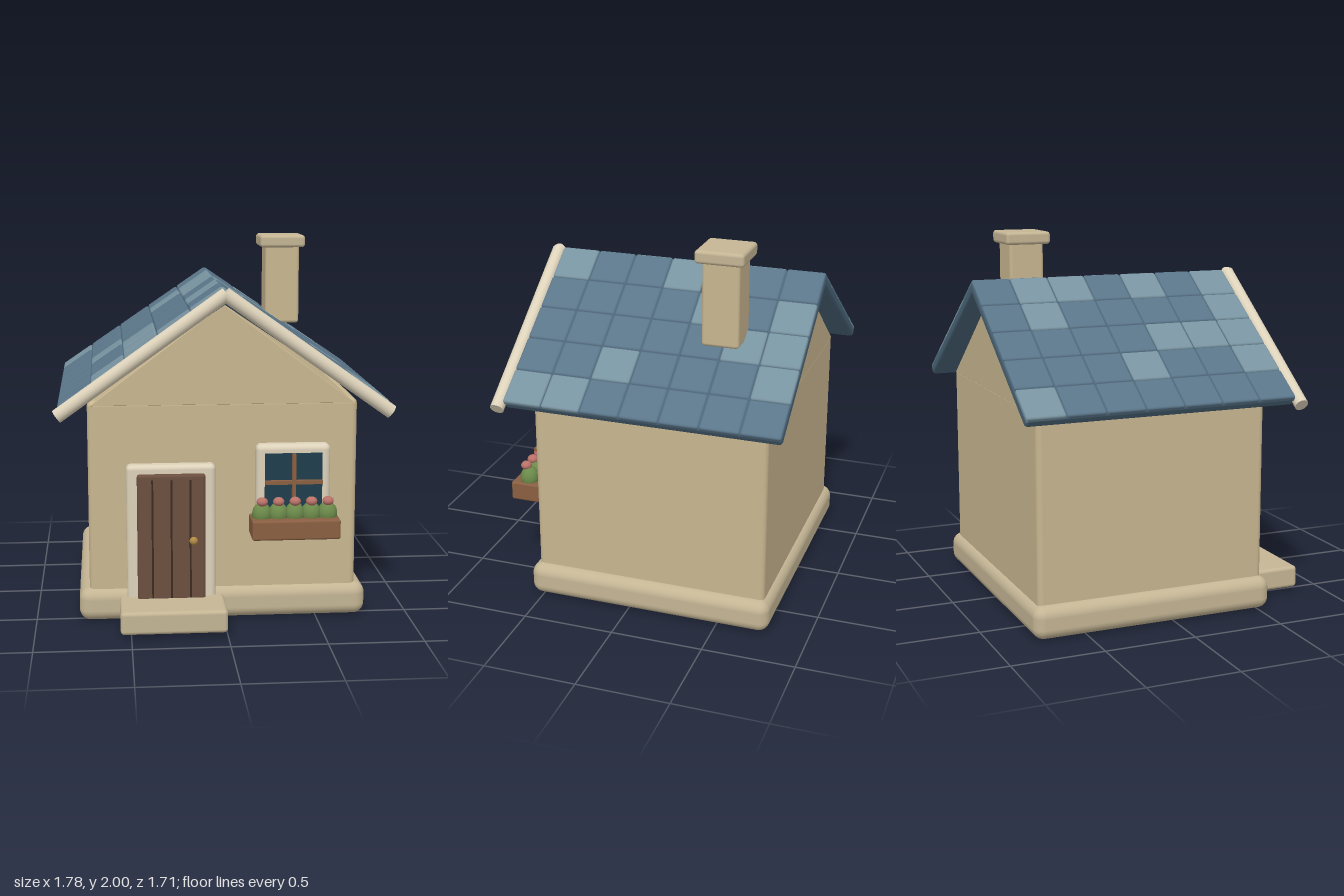
import * as THREE from 'three';
import { RoundedBoxGeometry } from 'three/addons/geometries/RoundedBoxGeometry.js';

const mats = {};
const mat = (color) => (mats[color] ??= new THREE.MeshStandardMaterial({ color }));
const WALL = 0xc8b690, STONE = 0xc4b594, TRIM = 0xddd2ba;
const TILE = 0x5a7589, TILE_LIGHT = 0x7893a0, SLATE = 0x4a6578;
const WOOD = 0x6b4f3f, GROOVE = 0x3a2a22, BROWN = 0x8a5f42;

function add(parent, name, geometry, color, x = 0, y = 0, z = 0) {
  const mesh = new THREE.Mesh(geometry, mat(color));
  mesh.name = name;
  mesh.position.set(x, y, z);
  parent.add(mesh);
  return mesh;
}

// Rounded box given by its extents on each axis
function box(parent, name, color, [x0, x1], [y0, y1], [z0, z1], r = 0.015, seg = 3) {
  const geometry = new RoundedBoxGeometry(x1 - x0, y1 - y0, z1 - z0, seg, r);
  return add(parent, name, geometry, color, (x0 + x1) / 2, (y0 + y1) / 2, (z0 + z1) / 2);
}

function group(parent, name) {
  const g = new THREE.Group();
  g.name = name;
  parent.add(g);
  return g;
}

function buildWalls(house) {
  box(house, 'foundation', STONE, [-0.77, 0.77], [0, 0.178], [-0.785, 0.57], 0.06, 5);
  box(house, 'walls', WALL, [-0.715, 0.715], [0.1, 1.19], [-0.75, 0.535], 0.03);

  // Gable prism filling the space under the roof
  const b = 0.006;
  const shape = new THREE.Shape([
    new THREE.Vector2(-0.695, 1.168),
    new THREE.Vector2(0.695, 1.168),
    new THREE.Vector2(0, 1.69),
  ]);
  const gable = new THREE.ExtrudeGeometry(shape, {
    depth: 1.285 - 2 * b, bevelEnabled: true, bevelSize: b, bevelThickness: b, bevelSegments: 2,
  });
  add(house, 'gable', gable, WALL, 0, 0, -0.75 + b);
}

function buildRoof(house) {
  const roof = group(house, 'roof');
  const slope = Math.atan(0.68), length = 1.052;
  const rows = 7, courses = 5, front = 0.64, back = -0.855;
  const rowStep = (front - back) / rows, courseStep = length / courses;
  // Paler tiles as row-course, rows from the front, courses from the ridge
  const light = {
    1: ['0-0', '0-4', '1-4', '2-3', '3-0', '4-1', '5-2', '6-1', '6-2', '6-3'],
    '-1': ['0-0', '0-1', '0-2', '0-3', '1-2', '2-0', '2-2', '3-3', '4-0', '5-0', '5-1', '6-4'],
  };
  for (const s of [1, -1]) {
    const side = group(roof, s > 0 ? 'leftRoofSide' : 'rightRoofSide');
    side.position.y = 1.78;
    side.rotation.z = -s * slope;
    const along = (a, b) => (s > 0 ? [a, b] : [-b, -a]);
    box(side, 'roofSlab', SLATE, along(0, length), [-0.067, -0.008], [back, front - 0.005], 0.02);
    for (let i = 0; i < rows; i++) {
      for (let j = 0; j < courses; j++) {
        const z1 = front - i * rowStep, x0 = j * courseStep;
        const color = light[s].includes(`${i}-${j}`) ? TILE_LIGHT : TILE;
        box(side, 'roofTile', color, along(x0 + 0.001, x0 + courseStep - 0.001), [-0.04, 0],
          [z1 - rowStep + 0.002, z1 - 0.002], 0.012, 2);
      }
    }
    // Round trim along the front edge
    const top = new THREE.Vector3(s * -0.005, 1.76, 0.671);
    const end = new THREE.Vector3(s * 0.868, 1.14, 0.671);
    const dir = end.clone().sub(top);
    const trim = add(roof, 'gableTrim', new THREE.CylinderGeometry(0.037, 0.037, dir.length(), 24), TRIM);
    trim.position.copy(top).add(end).multiplyScalar(0.5);
    trim.quaternion.setFromUnitVectors(new THREE.Vector3(0, 1, 0), dir.normalize());
  }
}

function buildChimney(house) {
  const chimney = group(house, 'chimney');
  box(chimney, 'chimneyStack', WALL, [0.32, 0.518], [1.488, 1.96], [-0.53, -0.33], 0.018);
  box(chimney, 'chimneyCap', STONE, [0.288, 0.548], [1.93, 2], [-0.558, -0.298], 0.018);
}

function buildDoor(house) {
  const entrance = group(house, 'entrance');
  box(entrance, 'doorFrame', TRIM, [-0.515, -0.045], [0.08, 0.857], [0.5, 0.598], 0.025);
  box(entrance, 'door', WOOD, [-0.46, -0.1], [0.1, 0.812], [0.56, 0.627], 0.015);
  for (let i = -1; i <= 1; i++) {
    add(entrance, 'plankGroove', new THREE.BoxGeometry(0.01, 0.64, 0.01), GROOVE, -0.28 + i * 0.1, 0.465, 0.625);
  }
  add(entrance, 'doorKnob', new THREE.SphereGeometry(0.022, 20, 14), 0xb08a45, -0.165, 0.46, 0.648);
  box(entrance, 'doorStep', STONE, [-0.556, 0], [0.02, 0.142], [0.535, 0.855], 0.02);
}

function buildWindow(house) {
  const win = group(house, 'window');
  const cx = 0.367, cy = 0.76;
  box(win, 'windowFrame', TRIM, [0.17, 0.565], [0.562, 0.957], [0.5, 0.598], 0.03);
  add(win, 'windowGlass', new THREE.BoxGeometry(0.305, 0.305, 0.05), 0x1f3d4d, cx, cy, 0.582);
  add(win, 'windowBarVertical', new THREE.BoxGeometry(0.02, 0.305, 0.03), BROWN, cx, cy, 0.617);
  add(win, 'windowBarHorizontal', new THREE.BoxGeometry(0.305, 0.02, 0.03), BROWN, cx, cy, 0.617);

  // Planter with a row of flowering shrubs
  const planter = group(house, 'flowerBox');
  box(planter, 'planter', BROWN, [0.135, 0.6], [0.477, 0.583], [0.563, 0.742], 0.012);
  const shrub = new THREE.SphereGeometry(0.052, 20, 14);
  const flower = new THREE.SphereGeometry(0.03, 18, 12);
  for (let i = 0; i < 5; i++) {
    const x = cx + (i - 2) * 0.087;
    add(planter, 'shrub', shrub, 0x6c8a4a, x, 0.6, 0.654).scale.y = 1.2;
    add(planter, 'flower', flower, 0xb97268, x, 0.67, 0.672).scale.y = 0.8;
  }
}

export function createModel() {
  const house = new THREE.Group();
  house.name = 'cottage';
  buildWalls(house);
  buildRoof(house);
  buildChimney(house);
  buildDoor(house);
  buildWindow(house);
  return house;
}
